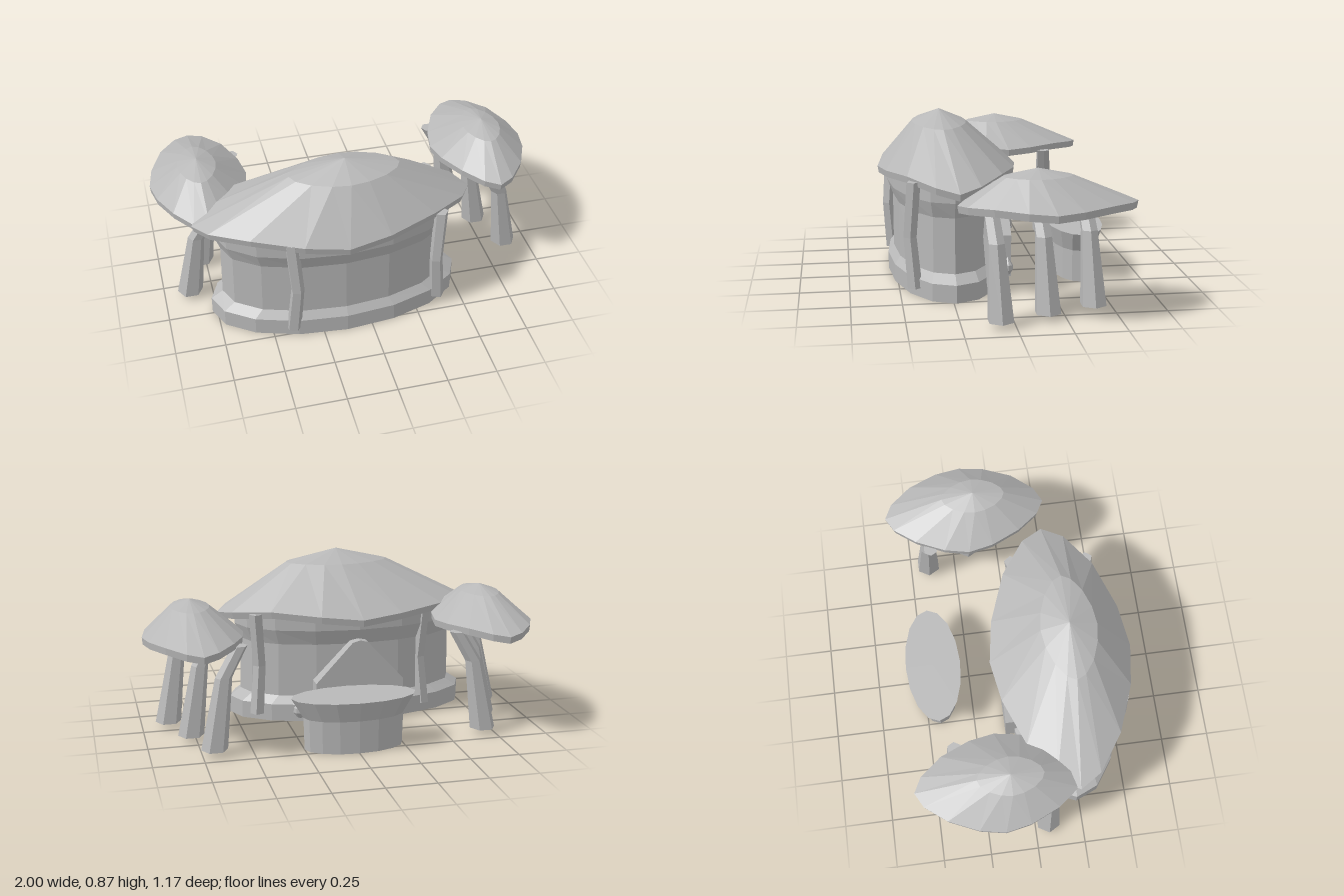
import * as THREE from 'three';

const grey = new THREE.MeshStandardMaterial({ color: 0xb8b8b8, flatShading: true });
grey.name = 'plain grey';
const shell = new THREE.MeshStandardMaterial({ color: 0xb8b8b8, flatShading: true, side: THREE.DoubleSide });
shell.name = 'plain grey';

// Skin cross-section rings listed from bottom to top
function loft(name, rings, material = grey) {
  const pos = [];
  const n = rings[0].length;
  for (let i = 0; i < rings.length - 1; i++) {
    for (let j = 0; j < n; j++) {
      const k = (j + 1) % n;
      const a = rings[i][j], b = rings[i][k], c = rings[i + 1][k], d = rings[i + 1][j];
      for (const p of [a, d, c, a, c, b]) pos.push(...p);
    }
  }
  const geo = new THREE.BufferGeometry();
  geo.setAttribute('position', new THREE.Float32BufferAttribute(pos, 3));
  geo.computeVertexNormals();
  const mesh = new THREE.Mesh(geo, material);
  mesh.name = name;
  return mesh;
}

// Oval ring; power above 1 pinches it towards a lens, wave lifts the corners
function oval(cx, y, cz, rx, rz, n = 16, power = 1, wave = 0) {
  const bend = (v) => Math.sign(v) * Math.pow(Math.abs(v), power);
  return Array.from({ length: n }, (_, i) => {
    const t = (i / n) * Math.PI * 2;
    return [cx + rx * bend(Math.cos(t)), y - wave * Math.cos(4 * t), cz + rz * bend(Math.sin(t))];
  });
}

// Leaf-shaped roof with a thin lip and an off-centre peak
function roof(name, { cx, cz, rx, rz, rim, wave, midY, peak }) {
  const [px, py, pz] = peak;
  return loft(name, [
    oval(cx, rim - 0.03, cz, 0, 0),
    oval(cx, rim - 0.035, cz, rx * 0.985, rz * 0.985, 16, 1.25, wave),
    oval(cx, rim, cz, rx, rz, 16, 1.25, wave),
    oval(px, midY, pz, rx * 0.39, rz * 0.39, 16, 1.15),
    oval(px, py, pz, 0, 0),
  ]);
}

// Bent post: each station is [x, y, z, radius], bottom to top, with closed ends
function post(name, stations, sides) {
  const first = stations[0], last = stations[stations.length - 1];
  const closed = [[...first.slice(0, 3), 0], ...stations, [...last.slice(0, 3), 0]];
  return loft(name, closed.map(([x, y, z, r]) => oval(x, y, z, r, r, sides)));
}

export function createModel() {
  const model = new THREE.Group();
  model.name = 'hutWithCanopies';

  // Main hut: footing, wall and flared top
  const wall = [
    [0, 0.645, 0.3], [0.09, 0.645, 0.3], [0.13, 0.585, 0.27],
    [0.41, 0.58, 0.27], [0.49, 0.61, 0.3], [0.56, 0.61, 0.3],
  ];
  model.add(loft('hutWall', wall.map(([y, rx, rz]) => oval(-0.13, y, 0.237, rx, rz)), shell));
  model.add(roof('hutRoof', {
    cx: -0.13, cz: 0.223, rx: 0.71, rz: 0.362, rim: 0.578, wave: 0.02,
    midY: 0.8, peak: [-0.08, 0.865, 0.265],
  }));

  // Thin posts around the hut
  for (const [x, z] of [[-0.4, 0.5], [0.37, 0.43], [0.4, 0.04], [-0.5, 0.02]]) {
    const s = Math.sign(x);
    model.add(post('hutPost', [
      [x, 0.045, z, 0.038],
      [x - s * 0.02, 0.3, z + 0.02, 0.034],
      [x, 0.58, z, 0.036],
    ], 5));
  }

  // Pointed door slab at the back
  const outline = new THREE.Shape([
    [-0.235, 0], [0.235, 0], [0.235, 0.22], [0.04, 0.43], [0, 0.44], [-0.04, 0.43], [-0.235, 0.22],
  ].map(([x, y]) => new THREE.Vector2(x, y)));
  const door = new THREE.Mesh(new THREE.ExtrudeGeometry(outline, { depth: 0.09, bevelEnabled: false }), grey);
  door.name = 'door';
  door.position.set(-0.125, 0, -0.09);
  model.add(door);

  // Small bulb beside the door
  model.add(loft('bulb', [[0.03, 0], [0.04, 0.014], [0.065, 0.028], [0.09, 0.026], [0.13, 0]]
    .map(([y, r]) => oval(0.19, y, -0.06, r * 1.3, r, 8))));

  // Oval table behind the hut
  const table = [[0, 0.25, 0.118], [0.165, 0.255, 0.12], [0.265, 0.315, 0.146], [0.265, 0, 0]];
  model.add(loft('table', table.map(([y, rx, rz]) => oval(0, y, -0.434, rx, rz))));

  // Canopies on both sides, each on three bent legs
  for (const s of [-1, 1]) {
    const canopy = new THREE.Group();
    canopy.name = s > 0 ? 'leftCanopy' : 'rightCanopy';
    canopy.add(roof('canopyRoof', {
      cx: s * 0.75, cz: -0.167, rx: 0.25, rz: 0.423, rim: 0.557, wave: 0.008,
      midY: 0.682, peak: [s * 0.757, 0.718, -0.115],
    }));
    for (const [x, z] of [[0.865, 0.07], [0.775, -0.165], [0.69, -0.4]]) {
      canopy.add(post('canopyLeg', [
        [s * x, 0.028, z, 0.066],
        [s * (x - 0.055), 0.385, z + 0.015, 0.042],
        [s * (x - 0.14), 0.535, z + 0.03, 0.038],
      ], 6));
    }
    model.add(canopy);
  }
  return model;
}
